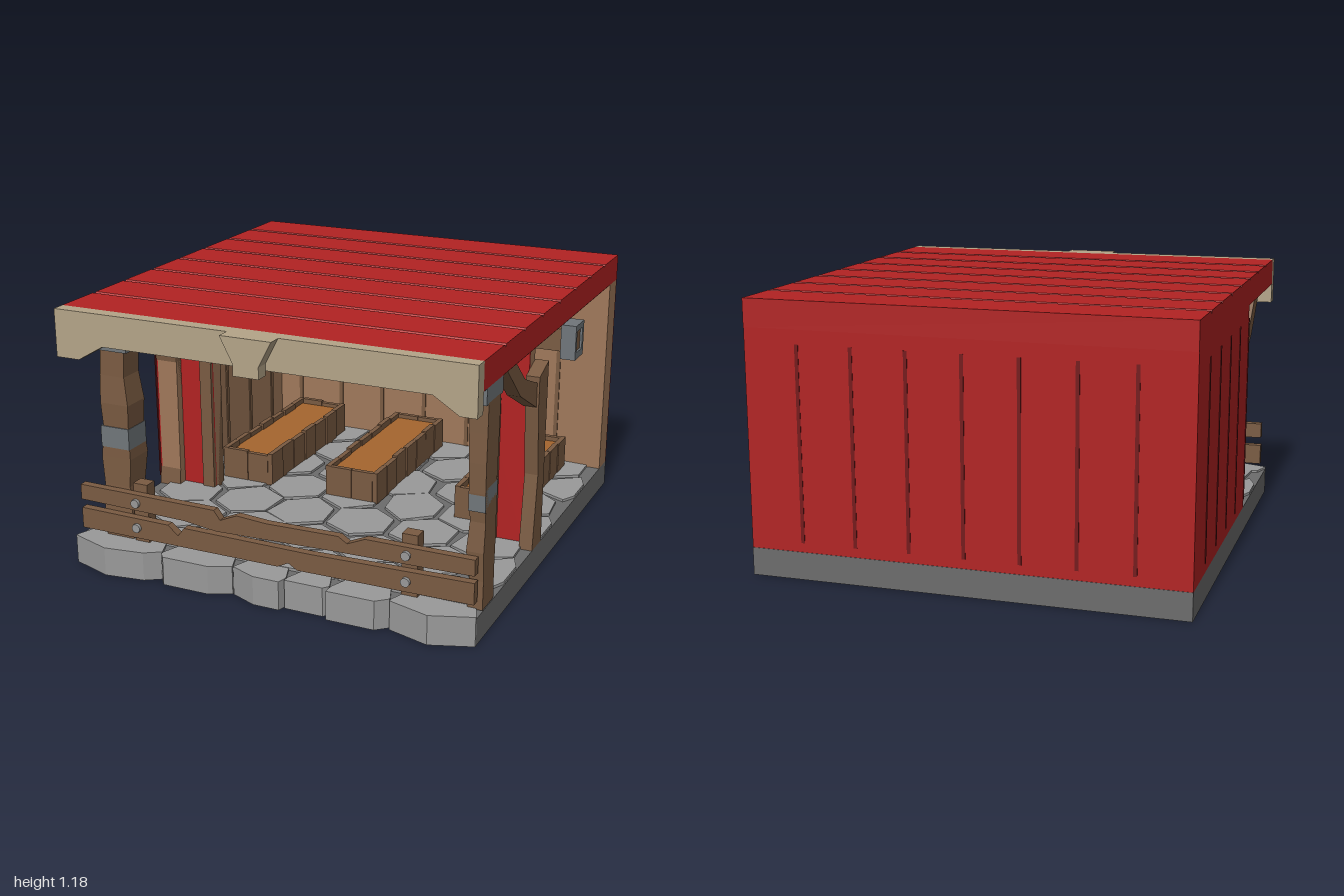
import * as THREE from 'three';

const mat = (name, color) => Object.assign(new THREE.MeshStandardMaterial({ color }), { name });

export function createModel() {
  const root = new THREE.Group();
  root.name = 'marketShed';
  const red = mat('red paint', 0xb22222), darkRed = mat('groove red', 0x74181a);
  const wall = mat('plank brown', 0xa0785a), wood = mat('timber brown', 0x7a5b42);
  const cream = mat('cream trim', 0xb4a488), stone = mat('paving grey', 0x999999);
  const grout = mat('base grey', 0x6c6c6c), metal = mat('iron grey', 0x70767a);
  const soil = mat('planter orange', 0xa5652e);

  let seed = 7;
  const rnd = () => (seed = (seed * 16807) % 2147483647) / 2147483647;
  const jit = (a) => (rnd() - 0.5) * 2 * a;

  const add = (name, geo, m) => {
    const mesh = new THREE.Mesh(geo, m);
    mesh.name = name;
    root.add(mesh);
    return mesh;
  };
  // Box given by its minimum and maximum on each axis
  const box = (name, m, x0, x1, y0, y1, z0, z1) =>
    add(name, new THREE.BoxGeometry(x1 - x0, y1 - y0, z1 - z0)
      .translate((x0 + x1) / 2, (y0 + y1) / 2, (z0 + z1) / 2), m);
  const extrude = (pts, depth) => new THREE.ExtrudeGeometry(
    new THREE.Shape(pts.map(([a, b]) => new THREE.Vector2(a, b))), { depth, bevelEnabled: false });
  // Outline in (x, y) pulled along z
  const slabZ = (name, m, pts, z0, z1) => add(name, extrude(pts, z1 - z0).translate(0, 0, z0), m);
  // Outline in (z, y) pulled along x
  const slabX = (name, m, pts, x0, x1) =>
    add(name, extrude(pts, x1 - x0).rotateY(-Math.PI / 2).translate(x1, 0, 0), m);
  // Outline in (x, z) pulled along y
  const slabY = (name, m, pts, y0, y1) =>
    add(name, extrude(pts.map(([x, z]) => [x, -z]), y1 - y0).rotateX(-Math.PI / 2).translate(0, y0, 0), m);

  // Base and paving
  box('base', grout, -0.94, 0.94, 0, 0.12, -1, 0.88);
  const clamp = THREE.MathUtils.clamp;
  for (let r = 0; r < 7; r++) {
    for (let c = 0; c < 8; c++) {
      const cx = -1.05 + c * 0.3 + (r % 2) * 0.15, cz = -0.8 + r * 0.255;
      if (cx - 0.1 > 0.94 || cx + 0.1 < -0.94) continue;
      const pts = [];
      for (let k = 0; k < 6; k++) {
        const a = (k + 0.5) * Math.PI / 3, q = 0.155 + jit(0.02);
        pts.push([clamp(cx + Math.cos(a) * q, -0.935, 0.935), clamp(cz + Math.sin(a) * q, -0.88, 0.8)]);
      }
      slabY('pavingStone', stone, pts, 0.115, 0.132);
    }
  }
  // Irregular front kerb
  [
    [[-0.94, 0.89], [-0.75, 0.955], [-0.57, 0.93], [-0.5, 0.885]],
    [[-0.495, 0.9], [-0.47, 0.93], [-0.25, 0.93], [-0.155, 0.885]],
    [[-0.15, 0.885], [-0.03, 0.935], [0.09, 0.935], [0.1, 0.9]],
    [[0.105, 0.91], [0.28, 0.91], [0.3, 0.885]],
    [[0.305, 0.93], [0.52, 0.93], [0.57, 0.885]],
    [[0.575, 0.9], [0.76, 0.955], [0.94, 0.89]],
  ].forEach((front) => {
    const a = front[0][0], b = front[front.length - 1][0];
    slabY('kerbStone', stone, [...front, [b, 0.881], [b - 0.03, 0.8], [a + 0.03, 0.8], [a, 0.881]].reverse(), 0.115, 0.13);
    slabY('kerbFace', stone, [...front, [b, 0.88], [a, 0.88]].reverse(), 0, 0.115);
  });

  // Back wall and side wall, plank brown inside and red outside
  box('backWall', wall, -0.93, 0.94, 0.12, 1.06, -0.99, -0.88);
  box('backCladding', red, -0.94, 0.94, 0.12, 1.06, -0.998, -0.99);
  box('sideWall', wall, -0.932, -0.83, 0.12, 1.06, -0.99, 0.18);
  box('sideCladding', red, -0.94, -0.932, 0.12, 1.06, -0.998, 0.18);
  for (let i = 0; i < 7; i++) {
    const p = -0.71 + i * 0.236;
    box('backGroove', darkRed, p - 0.008, p + 0.008, 0.16, 1.0, -1, -0.997);
    box('backInnerGroove', wood, p - 0.01, p + 0.01, 0.13, 1.06, -0.881, -0.874);
    if (i < 5) {
      const z = -0.76 + i * 0.236;
      box('sideGroove', darkRed, -0.942, -0.939, 0.16, 1.0, z - 0.008, z + 0.008);
      if (i < 4) box('sideInnerGroove', wood, -0.831, -0.824, 0.13, 1.06, z - 0.01, z + 0.01);
    }
  }

  // Front wall with a chamfered doorway and its timber frame
  const inner = [[-0.66, 0.12], [-0.66, 0.75], [-0.47, 0.91], [0.51, 0.91], [0.7, 0.75], [0.7, 0.12]];
  const outer = [[0.76, 0.12], [0.76, 0.78], [0.54, 0.955], [-0.5, 0.955], [-0.72, 0.78], [-0.72, 0.12]];
  const wallOutline = [[0.88, 0.12], [0.88, 1.06], [-0.83, 1.06], [-0.83, 0.12], ...inner];
  slabZ('frontWall', wall, wallOutline, 0.07, 0.132);
  slabZ('frontCladding', red, wallOutline, 0.132, 0.14);
  slabZ('doorFrame', wood, [...outer, ...inner], 0.062, 0.157);

  // Bent corner posts and curved braces
  for (const [x0, x1] of [[0.88, 0.94], [-0.94, -0.83]]) {
    slabX('bentPost', wood, [[0.065, 0.12], [0.19, 0.12], [0.15, 0.46], [0.183, 0.77], [0.183, 0.91], [0.065, 0.95]], x0, x1);
  }
  for (const [x0, x1] of [[0.87, 0.93], [-0.92, -0.85]]) {
    slabX('brace', wood, [[0.17, 0.77], [0.4, 0.89], [0.59, 1.06], [0.48, 1.06], [0.35, 0.95], [0.17, 0.88]], x0, x1);
  }

  // Rough front posts; the one on the left side is cut flush with the edge
  for (const [cx, limit] of [[-0.755, 1], [0.94, 0.94]]) {
    let g = new THREE.BoxGeometry(0.13, 0.87, 0.125, 1, 7, 1);
    const p = g.attributes.position;
    const rows = Array.from({ length: 8 }, () => [1 + jit(0.12), jit(0.006), jit(0.006)]);
    for (let i = 0; i < p.count; i++) {
      const [s, dx, dz] = rows[Math.round((p.getY(i) + 0.435) / 0.87 * 7)];
      p.setXYZ(i, Math.min(cx + p.getX(i) * s + dx, limit), p.getY(i) + 0.56, 0.752 + p.getZ(i) * s + dz);
    }
    g = g.toNonIndexed();
    g.computeVertexNormals();
    add('frontPost', g, wood);
    box('postBand', metal, cx - 0.07, Math.min(cx + 0.07, limit), 0.545, 0.64, 0.683, 0.82);
    box('postCap', metal, cx - 0.09, Math.min(cx + 0.092, limit), 0.99, 1.06, 0.655, 0.84);
  }

  // Roof of eight planks with notched joints
  const roof = [[-1, 1.06], [0.88, 1.06], [0.88, 1.18]];
  for (let i = 7; i >= 1; i--) {
    const z = -1 + i * 0.235;
    roof.push([z + 0.012, 1.18], [z, 1.168], [z - 0.012, 1.18]);
    box('roofGroove', darkRed, -0.939, 0.939, 1.168, 1.173, z - 0.006, z + 0.006);
  }
  roof.push([-1, 1.18]);
  slabX('roof', red, roof, -0.94, 0.94);
  box('ceiling', wall, -0.83, 0.935, 1.054, 1.061, -0.88, 0.88);

  // Cream fascia with a keystone
  slabZ('fascia', cream, [[-0.94, 0.97], [-0.83, 0.97], [-0.71, 1.04], [0.76, 1.04], [0.87, 0.97],
    [0.94, 0.97], [0.94, 1.18], [-0.94, 1.18]], 0.88, 0.94);
  slabZ('keystone', cream, [[-0.06, 1.02], [0.055, 1.02], [0.055, 1.07], [0.113, 1.18], [-0.117, 1.18], [-0.06, 1.07]], 0.94, 1);

  // Chipped fence rails on stubs with bolts
  slabZ('upperRail', wood, [[-0.92, 0.295], [-0.4, 0.285], [-0.24, 0.265], [0.3, 0.28], [0.92, 0.29], [0.92, 0.36],
    [0.45, 0.36], [0.37, 0.325], [0.33, 0.35], [0, 0.345], [-0.14, 0.355], [-0.22, 0.32], [-0.25, 0.36], [-0.92, 0.365]], 0.825, 0.862);
  slabZ('lowerRail', wood, [[-0.92, 0.16], [0.05, 0.16], [0.1, 0.185], [0.14, 0.16], [0.92, 0.165], [0.92, 0.26],
    [0.2, 0.245], [-0.4, 0.25], [-0.43, 0.21], [-0.48, 0.25], [-0.92, 0.255]], 0.825, 0.862);
  for (const x of [-0.635, 0.63]) {
    box('railStub', wood, x - 0.035, x + 0.035, 0.12, 0.4, 0.765, 0.826);
    for (const y of [0.325, 0.21]) {
      add('railBolt', new THREE.CylinderGeometry(0.02, 0.02, 0.02, 10).rotateX(Math.PI / 2).translate(x, y, 0.867), stone);
    }
  }

  // Ceiling beam with iron collars and a hanging sign
  box('beam', wood, -0.83, 0.925, 0.86, 0.965, -0.455, -0.37);
  for (const x of [-0.24, 0.47, 0.9]) {
    const w = x > 0.8 ? 0.035 : 0.057;
    box('collarTop', metal, x - w, x + w, 0.962, 0.99, -0.476, -0.352);
    box('collarBottom', metal, x - w, x + w, 0.83, 0.862, -0.476, -0.352);
    box('collarFront', metal, x - w, x + w, 0.862, 0.962, -0.372, -0.352);
    box('collarBack', metal, x - w, x + w, 0.862, 0.962, -0.476, -0.453);
  }
  for (const x of [0.02, 0.21]) box('signHanger', metal, x - 0.008, x + 0.008, 0.79, 0.865, -0.423, -0.407);
  for (const [y0, y1, d] of [[0.732, 0.8, 0.006], [0.66, 0.725, -0.012], [0.595, 0.652, 0.008]]) {
    slabZ('signPlank', wood, [[-0.06, y0], [0.15, y0 + d], [0.29, y0], [0.29, y1], [0.1, y1 - Math.abs(d) / 2], [-0.06, y1]], -0.44, -0.39);
  }

  // Three planters built from upright boards
  for (const x0 of [-0.69, -0.14, 0.51]) {
    const x1 = x0 + 0.265;
    box('planterSoil', soil, x0 + 0.02, x1 - 0.02, 0.13, 0.255, -0.81, -0.01);
    for (let i = 0; i < 7; i++) {
      const z = -0.83 + i * 0.12, top = 0.28 + jit(0.006), o = jit(0.004);
      for (const x of [x0, x1 - 0.024]) {
        box('planterSideBoard', wood, x + o, x + 0.024 + o, 0.125, top, z + 0.003, z + 0.117);
      }
    }
    for (let i = 0; i < 2; i++) {
      const x = x0 + 0.024 + i * 0.11, top = 0.278 + jit(0.006);
      for (const z of [-0.832, -0.016]) box('planterEndBoard', wood, x, x + 0.107, 0.125, top, z, z + 0.024);
    }
  }
  return root;
}
